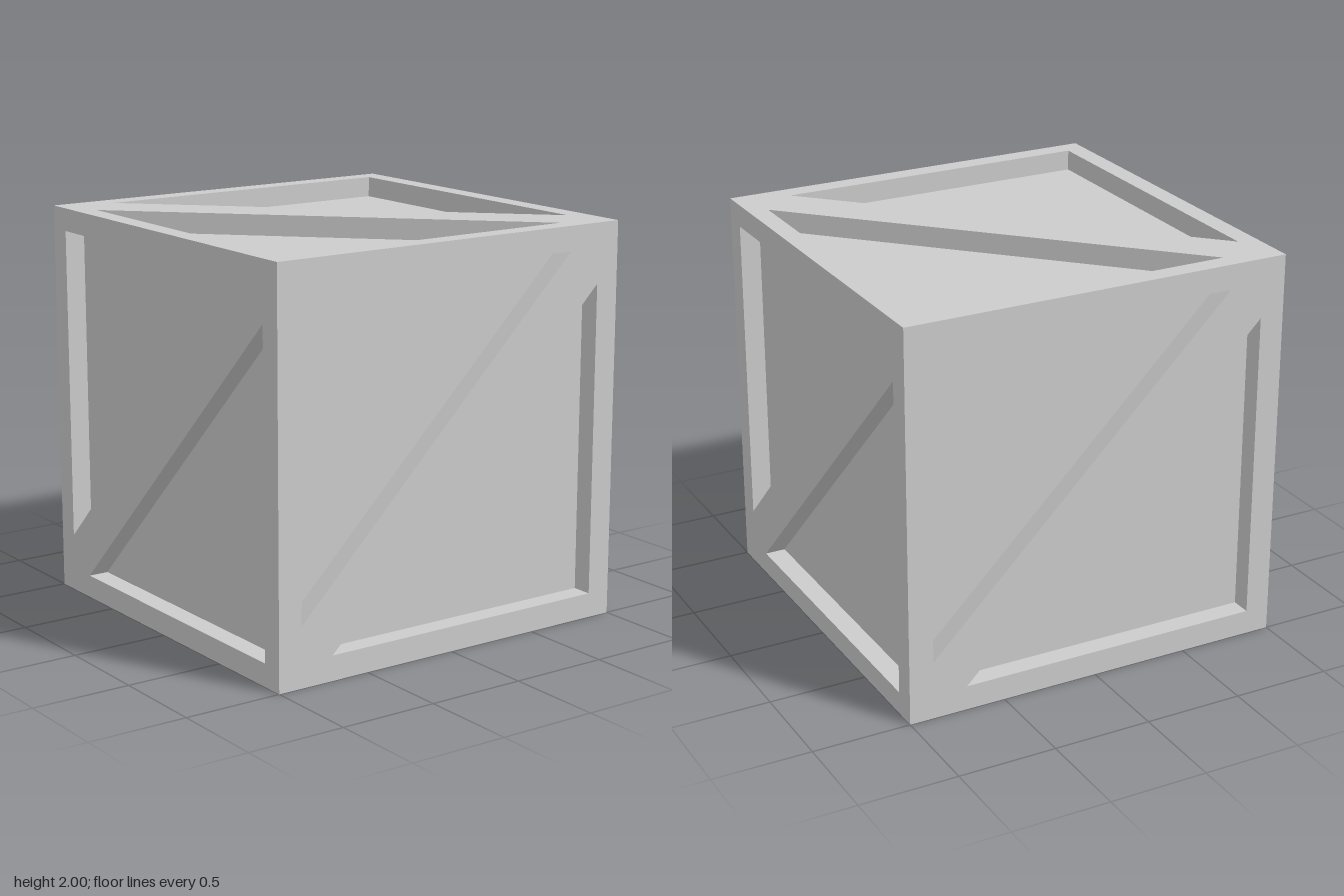
import * as THREE from 'three';

const DEPTH = 0.105; // recess depth
const material = new THREE.MeshStandardMaterial({ color: 0xcccccc, flatShading: true });

// Inner walls of a recess, following a counter-clockwise outline inwards from z = 1
function wallGeometry(outline) {
  const positions = [];
  outline.forEach((a, i) => {
    const b = outline[(i + 1) % outline.length];
    const lo = 1 - DEPTH;
    positions.push(a.x, a.y, 1, b.x, b.y, 1, b.x, b.y, lo);
    positions.push(a.x, a.y, 1, b.x, b.y, lo, a.x, a.y, lo);
  });
  const geometry = new THREE.BufferGeometry();
  geometry.setAttribute('position', new THREE.Float32BufferAttribute(positions, 3));
  geometry.computeVertexNormals();
  return geometry;
}

function addMesh(group, name, geometry) {
  const mesh = new THREE.Mesh(geometry, material);
  mesh.name = name;
  group.add(mesh);
}

// One crate side: square frame with a diagonal brace between two recessed triangles.
// m = outer edge of the recesses, h and v = where their tips end across and down.
function createSide(name, m, h, v) {
  const side = new THREE.Group();
  side.name = name;

  const upper = [[-m, m], [-m, -v], [h, m]].map(([x, y]) => new THREE.Vector2(x, y));
  const lower = upper.map((p) => p.clone().negate());

  const frame = new THREE.Shape([[-1, -1], [1, -1], [1, 1], [-1, 1]].map(([x, y]) => new THREE.Vector2(x, y)));
  for (const outline of [upper, lower]) {
    frame.holes.push(new THREE.Path(outline));
    addMesh(side, 'recessWalls', wallGeometry(outline));
    addMesh(side, 'recessedPanel', new THREE.ShapeGeometry(new THREE.Shape(outline)).translate(0, 0, 1 - DEPTH));
  }
  addMesh(side, 'bracedFrame', new THREE.ShapeGeometry(frame).translate(0, 0, 1));
  return side;
}

export function createModel() {
  const crate = new THREE.Group();
  crate.name = 'crate';
  const q = Math.PI / 2;

  // name, recess edge, tip across, tip down, rotation
  const sides = [
    ['frontSide', 0.875, 0.7, 0.7, [0, 0, 0]],
    ['backSide', 0.875, 0.7, 0.7, [0, 2 * q, 0]],
    ['leftSide', 0.885, 0.73, 0.705, [0, q, 0]],
    ['rightSide', 0.885, 0.73, 0.705, [0, -q, 0]],
    ['topSide', 0.9, 0.745, 0.715, [-q, 0, -q]],
    ['bottomSide', 0.9, 0.745, 0.715, [q, 0, -q]],
  ];
  for (const [name, m, h, v, rotation] of sides) {
    const side = createSide(name, m, h, v);
    side.rotation.set(...rotation);
    side.position.y = 1;
    crate.add(side);
  }
  return crate;
}
